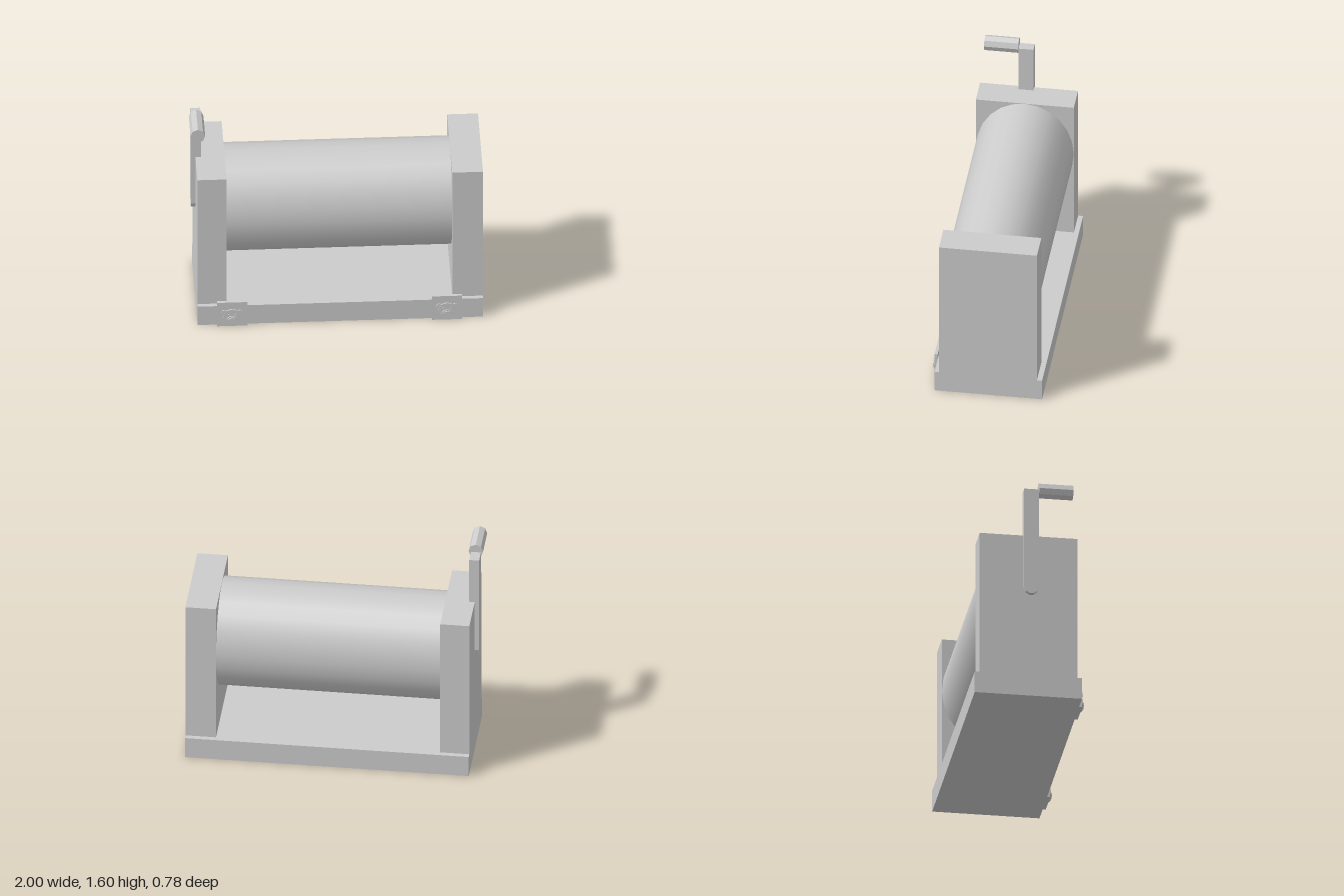
import * as THREE from 'three';

export function createModel() {
  const model = new THREE.Group();
  const grey = new THREE.MeshStandardMaterial({ color: 0xcccccc });
  grey.name = 'plain grey';

  const add = (name, geometry, parent = model) => {
    const mesh = new THREE.Mesh(geometry, grey);
    mesh.name = name;
    parent.add(mesh);
    return mesh;
  };

  // Box given by its lower and upper limits on each axis
  const box = (name, x0, x1, y0, y1, z0, z1, parent) =>
    add(name, new THREE.BoxGeometry(x1 - x0, y1 - y0, z1 - z0), parent)
      .position.set((x0 + x1) / 2, (y0 + y1) / 2, (z0 + z1) / 2);

  // Faceted elliptical rod along z, from z0 to z1
  const rod = (name, x, y, rx, ry, z0, z1, sides, parent) => {
    const indexed = new THREE.CylinderGeometry(1, 1, z1 - z0, sides);
    indexed.rotateX(Math.PI / 2);
    indexed.scale(rx, ry, 1);
    const geometry = indexed.toNonIndexed();
    geometry.computeVertexNormals();
    add(name, geometry, parent).position.set(x, y, (z0 + z1) / 2);
  };

  // Base and end posts
  box('base', -0.955, 0.995, 0, 0.155, -0.39, 0.35);
  box('rightPost', -0.955, -0.755, 0.155, 1.2, -0.355, 0.32);
  box('leftPost', 0.785, 0.995, 0.155, 1.2, -0.355, 0.32);

  // Drum: smooth, slightly oval cylinder between the posts
  const drum = new THREE.CylinderGeometry(1, 1, 1.54, 24, 1);
  drum.rotateZ(Math.PI / 2);
  drum.scale(1, 0.387, 0.336);
  add('drum', drum).position.set(0.015, 0.812, -0.018);

  // Crank arm with a rounded lower end, half sunk into the post
  const outline = new THREE.Shape();
  outline.moveTo(0.05, 1.54);
  outline.lineTo(-0.053, 1.54);
  outline.lineTo(-0.053, 0.81);
  outline.lineTo(-0.04, 0.775);
  outline.lineTo(-0.015, 0.757);
  outline.lineTo(0.012, 0.757);
  outline.lineTo(0.037, 0.775);
  outline.lineTo(0.05, 0.81);
  outline.closePath();
  const arm = new THREE.ExtrudeGeometry(outline, { depth: 0.068, bevelEnabled: false });
  arm.rotateY(-Math.PI / 2);
  add('crankArm', arm).position.x = -0.917;

  // Eight-sided crank handle
  rod('crankHandle', -0.95, 1.545, 0.05, 0.055, 0.05, 0.285, 8);

  // Square plates with a small animal face in relief
  for (const [name, x] of [['rightBadge', -0.72], ['leftBadge', 0.747]]) {
    const badge = new THREE.Group();
    badge.name = name;
    badge.position.x = x;
    model.add(badge);
    box('plate', -0.103, 0.103, 0, 0.197, 0.35, 0.371, badge);
    rod('head', 0, 0.078, 0.062, 0.066, 0.37, 0.38, 12, badge);
    rod('muzzle', 0, 0.055, 0.042, 0.036, 0.38, 0.387, 12, badge);
    rod('nose', 0, 0.058, 0.029, 0.025, 0.386, 0.394, 10, badge);
    for (const side of [-1, 1]) {
      rod('ear', side * 0.054, 0.116, 0.021, 0.021, 0.37, 0.378, 8, badge);
      rod('eye', side * 0.024, 0.1, 0.007, 0.008, 0.379, 0.384, 8, badge);
    }
  }

  return model;
}
